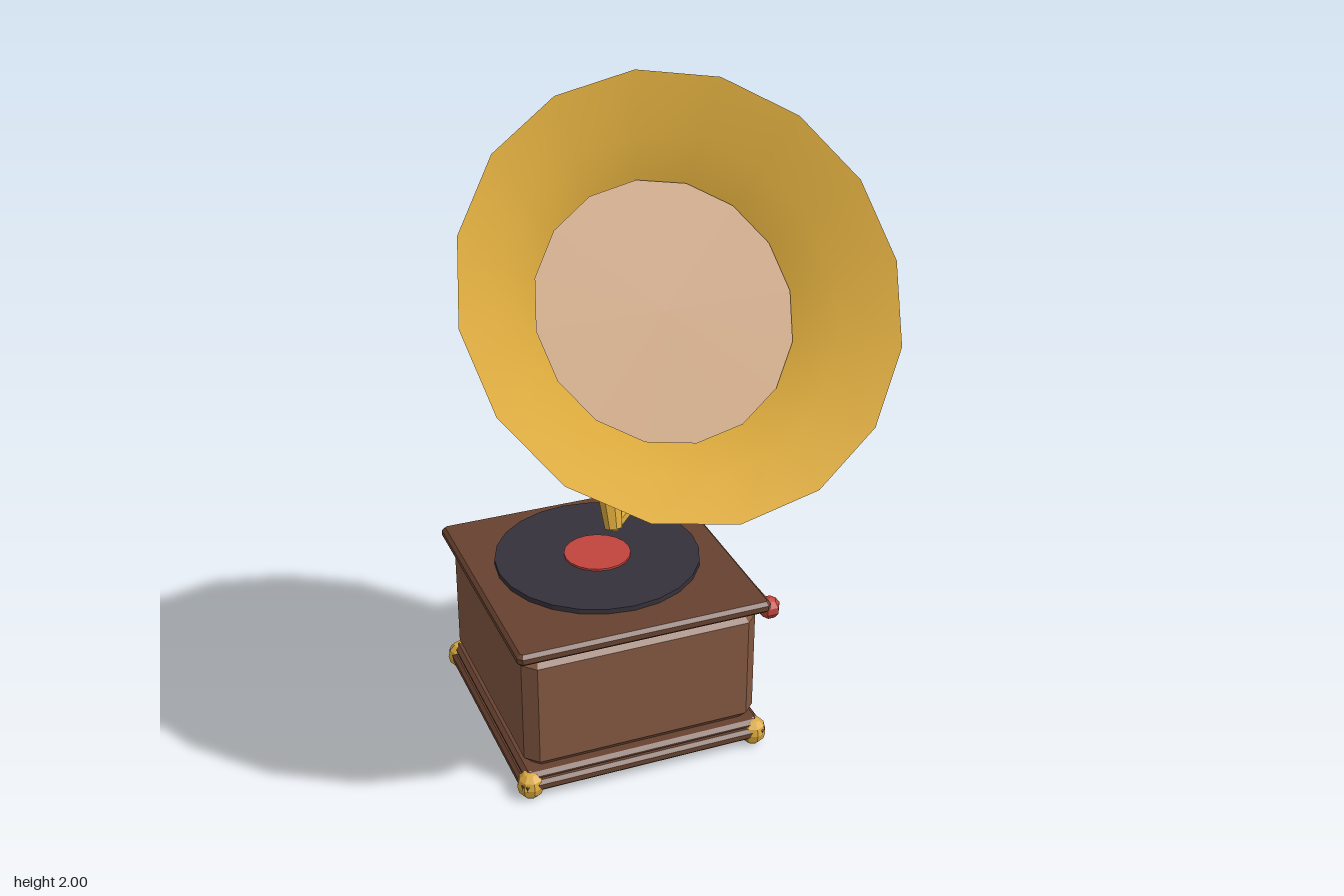
import * as THREE from 'three';

const mat = (color, flatShading = true) =>
  new THREE.MeshStandardMaterial({ color, flatShading, side: THREE.DoubleSide });
const wood = mat(0x80563f), trimWood = mat(0x66412f), gold = mat(0xd9a83c);
const goldSmooth = mat(0xd9a83c, false), throatBrown = mat(0xa87430);
const vinyl = mat(0x35313a), red = mat(0xc0443d);

const CZ = -0.277; // centre of the cabinet in z

function add(parent, name, geometry, material, x = 0, y = 0, z = 0) {
  const mesh = new THREE.Mesh(geometry, material);
  mesh.name = name;
  mesh.position.set(x, y, z);
  parent.add(mesh);
  return mesh;
}

// Square block from y0 to y1 with cut corners and bevelled top and bottom edges
function bevelledBlock(half, y0, y1, corner, size, thickness) {
  const c = half - corner;
  const shape = new THREE.Shape([
    [half, -c], [half, c], [c, half], [-c, half],
    [-half, c], [-half, -c], [-c, -half], [c, -half],
  ].map(([x, y]) => new THREE.Vector2(x, y)));
  const geo = new THREE.ExtrudeGeometry(shape, {
    depth: y1 - y0 - 2 * thickness, bevelEnabled: true, bevelSegments: 1,
    bevelSize: size, bevelOffset: -size, bevelThickness: thickness,
  });
  return geo.rotateX(-Math.PI / 2).translate(0, y0 + thickness, 0);
}

// Faceted pipe through [x, y, z, radius] stations with mitred joints
function pipe(stations, sides = 8) {
  const n = stations.length;
  const pts = stations.map(([x, y, z]) => new THREE.Vector3(x, y, z));
  const frames = [];
  let tangent = new THREE.Vector3(0, 1, 0);
  const turn = new THREE.Quaternion();
  for (let i = 0; i < n; i++) {
    const next = new THREE.Vector3();
    if (i > 0) next.add(pts[i].clone().sub(pts[i - 1]).normalize());
    if (i < n - 1) next.add(pts[i + 1].clone().sub(pts[i]).normalize());
    next.normalize();
    turn.premultiply(new THREE.Quaternion().setFromUnitVectors(tangent, next));
    frames.push(turn.clone());
    tangent = next;
  }
  const geo = new THREE.CylinderGeometry(1, 1, 1, sides, n - 1);
  const pos = geo.attributes.position;
  const v = new THREE.Vector3();
  for (let k = 0; k < pos.count; k++) {
    const i = Math.round((pos.getY(k) + 0.5) * (n - 1));
    v.set(pos.getX(k), 0, pos.getZ(k)).multiplyScalar(stations[i][3]);
    v.applyQuaternion(frames[i]).add(pts[i]);
    pos.setXYZ(k, v.x, v.y, v.z);
  }
  geo.computeVertexNormals();
  return geo;
}

export function createModel() {
  const model = new THREE.Group();
  model.name = 'gramophone';

  // Cabinet
  const cabinet = new THREE.Group();
  cabinet.name = 'cabinet';
  cabinet.position.z = CZ;
  model.add(cabinet);
  add(cabinet, 'basePlinth', bevelledBlock(0.368, 0.03, 0.065, 0.012, 0.01, 0.01), trimWood);
  add(cabinet, 'baseMoulding', bevelledBlock(0.355, 0.06, 0.085, 0.012, 0.012, 0.01), trimWood);
  add(cabinet, 'cabinetBody', bevelledBlock(0.345, 0.08, 0.457, 0.035, 0.033, 0.035), wood);
  add(cabinet, 'lid', bevelledBlock(0.369, 0.455, 0.49, 0.012, 0.01, 0.01), trimWood);
  for (const x of [-0.337, 0.337]) {
    for (const z of [-0.337, 0.337]) {
      add(cabinet, 'foot', new THREE.SphereGeometry(0.039, 8, 6), gold, x, 0.043, z)
        .scale.y = 1.1;
    }
  }

  // Record
  add(model, 'record', new THREE.CylinderGeometry(0.295, 0.295, 0.02, 24), vinyl, 0, 0.495, -0.305);
  add(model, 'recordLabel', new THREE.CylinderGeometry(0.096, 0.096, 0.01, 20), red, 0, 0.506, -0.305);

  // Crank on the left side
  const crank = new THREE.Group();
  crank.name = 'crank';
  model.add(crank);
  add(crank, 'crankRod', pipe([
    [0.34, 0.278, -0.282, 0.015], [0.495, 0.278, -0.282, 0.015], [0.495, 0.278, -0.19, 0.015],
  ], 6), gold);
  add(crank, 'crankKnob', new THREE.SphereGeometry(0.035, 6, 5), red, 0.495, 0.278, -0.182);

  // Post, tone arm and neck
  add(model, 'armPost', new THREE.CylinderGeometry(0.034, 0.034, 0.15, 8), gold, 0.248, 0.563, -0.527);
  add(model, 'toneArm', pipe([
    [0.248, 0.618, -0.527, 0.02], [0.15, 0.652, -0.355, 0.021], [0, 0.677, -0.175, 0.025],
  ]), gold);
  add(model, 'neck', pipe([
    [0, 0.665, -0.17, 0.026], [0, 0.895, -0.247, 0.047], [0, 1.08, -0.3, 0.06],
  ]), gold);

  // Horn, turned about an axis that leans up and forward
  const horn = new THREE.Group();
  horn.name = 'horn';
  horn.position.set(0, 1.562, 0.32);
  horn.rotation.x = Math.atan2(0.8, 0.6);
  model.add(horn);
  const profile = [
    [0.053, -0.785], [0.058, -0.7], [0.066, -0.62], [0.088, -0.53], [0.128, -0.43],
    [0.178, -0.342], [0.214, -0.295], [0.284, -0.215], [0.345, -0.155], [0.42, -0.088], [0.548, 0],
  ].map(([r, a]) => new THREE.Vector2(r, a));
  add(horn, 'hornBell', new THREE.LatheGeometry(profile, 16), goldSmooth);
  add(horn, 'hornThroat', new THREE.CylinderGeometry(0.328, 0.322, 0.008, 16), throatBrown, 0, -0.16, 0);
  add(horn, 'hornEnd', new THREE.CylinderGeometry(0.053, 0.053, 0.006, 16), gold, 0, -0.783, 0);

  return model;
}
